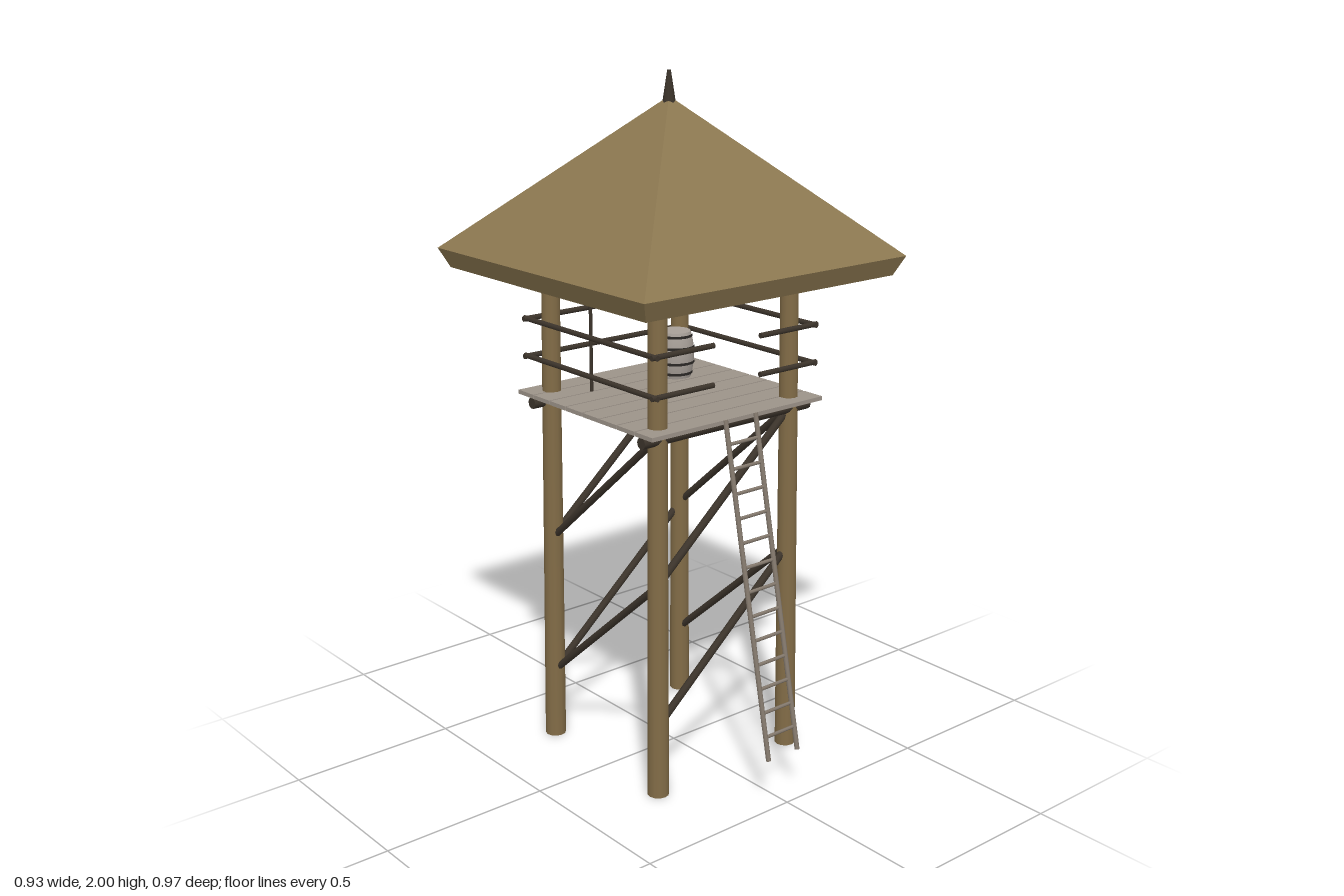
import * as THREE from 'three';

const mat = (name, color) => {
  const m = new THREE.MeshStandardMaterial({ color });
  m.name = name;
  return m;
};

export function createModel() {
  const thatch = mat('thatch', 0x8b7750);
  const post = mat('postWood', 0x826c47);
  const dark = mat('darkWood', 0x3c342b);
  const plank = mat('weatheredPlank', 0x9c9389);
  const ladderWood = mat('ladderWood', 0x857a6e);
  const iron = mat('iron', 0x2b2826);
  const stave = mat('barrelStave', 0xa8a099);

  const model = new THREE.Group();
  model.name = 'watchtower';
  const tower = new THREE.Group();
  tower.name = 'tower';
  tower.position.z = -0.02;
  model.add(tower);

  const add = (parent, name, geometry, material, x = 0, y = 0, z = 0) => {
    const mesh = new THREE.Mesh(geometry, material);
    mesh.name = name;
    mesh.position.set(x, y, z);
    parent.add(mesh);
    return mesh;
  };

  // Round pole from a to b
  const pole = (parent, name, a, b, r0, r1, material, sides = 8) => {
    const from = new THREE.Vector3(...a), to = new THREE.Vector3(...b);
    const dir = to.clone().sub(from);
    const mesh = add(parent, name, new THREE.CylinderGeometry(r1, r0, dir.length(), sides), material);
    mesh.position.copy(from).add(to).multiplyScalar(0.5);
    mesh.quaternion.setFromUnitVectors(new THREE.Vector3(0, 1, 0), dir.normalize());
    return mesh;
  };

  // Corner posts, leaning slightly inward
  for (const sx of [-1, 1]) for (const sz of [-1, 1]) {
    pole(tower, 'cornerPost', [sx * 0.248, 0, sz * 0.248], [sx * 0.238, 1.5, sz * 0.238], 0.031, 0.026, post, 12);
  }

  // Two diagonal braces on each side, and the floor beams
  for (const s of [-0.245, 0.245]) {
    for (const y of [0.21, 0.637]) {
      pole(tower, 'braceAcross', [-0.245, y, s], [0.245, y + 0.425, s], 0.011, 0.011, dark);
      pole(tower, 'braceSide', [s, y, -0.245], [s, y + 0.425, 0.245], 0.011, 0.011, dark);
    }
    pole(tower, 'floorBeam', [-0.305, 1.06, s * 1.02], [0.305, 1.06, s * 1.02], 0.017, 0.017, dark, 10);
  }

  // Floor planks
  const count = 8, pitch = 0.615 / count;
  for (let i = 0; i < count; i++) {
    add(tower, 'floorPlank', new THREE.BoxGeometry(0.624, 0.012, pitch - 0.005), plank,
      0, 1.084, (i - (count - 1) / 2) * pitch);
  }

  // Railings, open at the front for the ladder
  const e = 0.3, d = 0.288, gap = 0.085;
  for (const y of [1.19, 1.3]) {
    pole(tower, 'backRail', [-e, y, -d], [e, y, -d], 0.008, 0.008, dark);
    for (const s of [-1, 1]) {
      pole(tower, 'sideRail', [s * d, y, -e], [s * d, y, e], 0.008, 0.008, dark);
      pole(tower, 'frontRail', [s * gap, y, d], [s * e, y, d], 0.008, 0.008, dark);
    }
  }

  // Hollow four-sided roof with a bevelled eave
  const profile = [[0, 1.88], [0.44, 1.445], [0.465, 1.5], [0, 1.93]]
    .map(([r, y]) => new THREE.Vector2(r * Math.SQRT2, y));
  const roof = new THREE.LatheGeometry(profile, 4, Math.PI / 4).toNonIndexed();
  roof.computeVertexNormals();
  add(tower, 'roof', roof, thatch);
  add(tower, 'finial', new THREE.CylinderGeometry(0.005, 0.019, 0.09, 8), dark, 0, 1.955, 0);

  // Ladder
  const ladder = new THREE.Group();
  ladder.name = 'ladder';
  model.add(ladder);
  const top = [1.09, 0.285], bottom = [0.14, 0.479];
  const zAt = (y) => bottom[1] + (top[1] - bottom[1]) * (y - bottom[0]) / (top[0] - bottom[0]);
  for (const x of [-0.055, 0.055]) {
    pole(ladder, 'ladderRail', [x, ...bottom], [x, ...top], 0.007, 0.007, ladderWood);
  }
  for (let i = 0; i < 13; i++) {
    const y = 0.207 + i * 0.068;
    pole(ladder, 'rung', [-0.055, y, zAt(y)], [0.055, y, zAt(y)], 0.005, 0.005, ladderWood, 6);
  }

  // Barrel with hoops
  const barrel = new THREE.Group();
  barrel.name = 'barrel';
  barrel.position.set(0.135, 1.09, -0.155);
  model.add(barrel);
  const radius = (y) => 0.056 - 0.01 * ((y - 0.069) / 0.069) ** 2;
  const body = [];
  for (let i = 0; i <= 8; i++) body.push(new THREE.Vector2(radius(i * 0.01725), i * 0.01725));
  add(barrel, 'barrelBody', new THREE.LatheGeometry(body, 16), stave);
  add(barrel, 'barrelLid', new THREE.CylinderGeometry(0.046, 0.046, 0.004, 16), stave, 0, 0.136, 0);
  for (const y of [0.014, 0.046, 0.092, 0.126]) {
    add(barrel, 'hoop', new THREE.CylinderGeometry(radius(y) + 0.002, radius(y) + 0.002, 0.008, 16, 1, true), iron, 0, y, 0);
  }

  // Torch standing on the floor
  pole(model, 'torchPole', [-0.16, 1.09, -0.177], [-0.16, 1.38, -0.177], 0.005, 0.005, dark, 6);
  const head = [[0, 0], [0.009, 0], [0.015, 0.02], [0.015, 0.055], [0.01, 0.064], [0, 0.064]]
    .map(([r, y]) => new THREE.Vector2(r, y));
  add(model, 'torchHead', new THREE.LatheGeometry(head, 10), iron, -0.16, 1.37, -0.177);

  return model;
}
